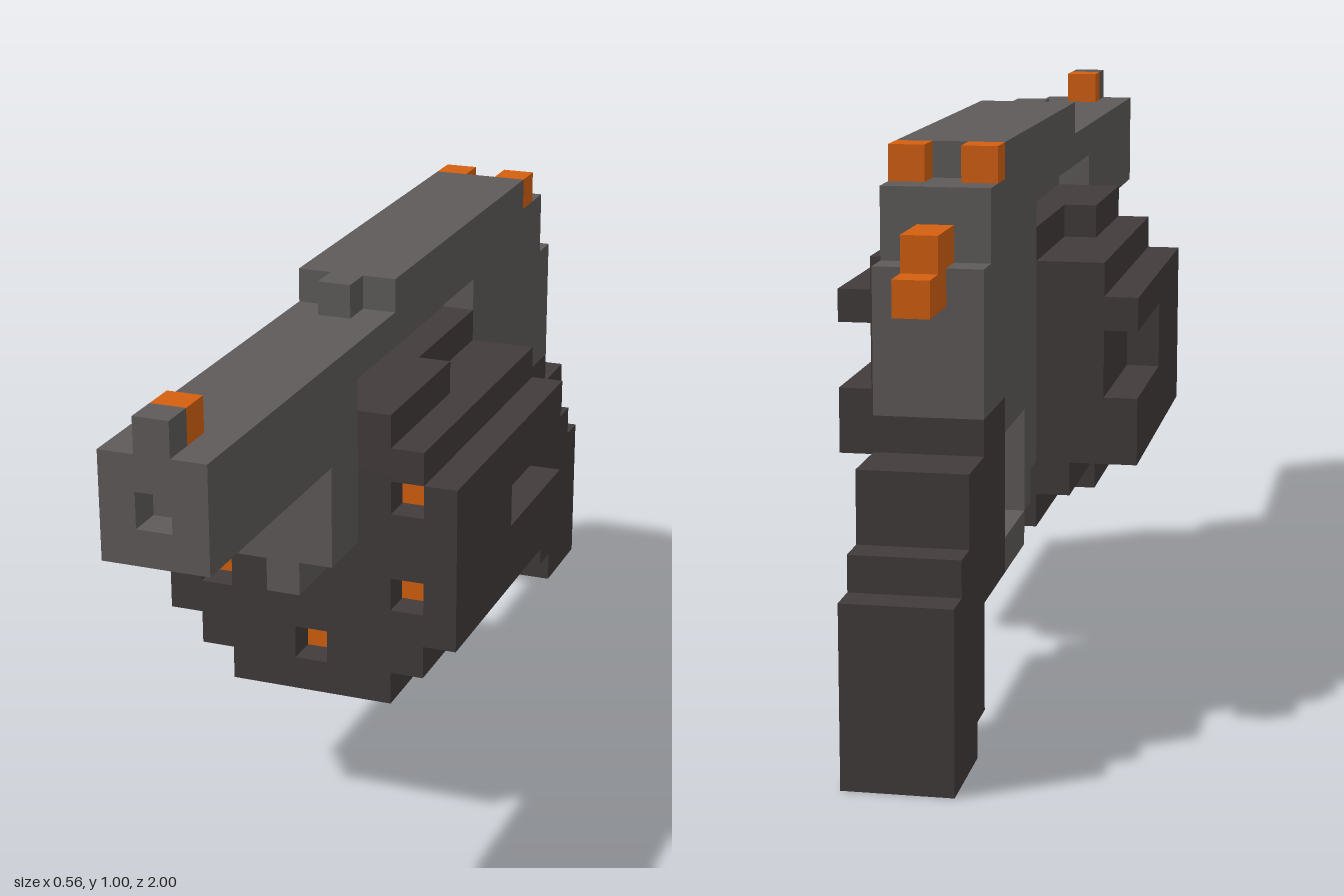
import * as THREE from 'three';

const U = 1 / 16; // one block

export function createModel() {
  const steel = new THREE.MeshStandardMaterial({ color: 0x5f5a5a });
  steel.name = 'grey steel';
  const dark = new THREE.MeshStandardMaterial({ color: 0x423b3b });
  dark.name = 'dark iron';
  const orange = new THREE.MeshStandardMaterial({ color: 0xd4600f });
  orange.name = 'orange';

  const model = new THREE.Group();
  model.name = 'blockRevolver';

  const add = (name, geometry, material) => {
    geometry.scale(U, U, U);
    const mesh = new THREE.Mesh(geometry, material);
    mesh.name = name;
    model.add(mesh);
  };
  const box = (name, material, x0, x1, y0, y1, z0, z1) => {
    const g = new THREE.BoxGeometry(x1 - x0, y1 - y0, z1 - z0);
    g.translate((x0 + x1) / 2, (y0 + y1) / 2, (z0 + z1) / 2);
    add(name, g, material);
  };
  const shapeOf = (points) => new THREE.Shape(points.map(([a, b]) => new THREE.Vector2(a, b)));
  const squareHole = (x, y) => new THREE.Path([[-0.5, -0.5], [-0.5, 0.5], [0.5, 0.5], [0.5, -0.5]]
    .map(([a, b]) => new THREE.Vector2(x + a, y + b)));

  // Side profile given as (z, y), three blocks wide
  const sidePlate = (name, material, points) => {
    const g = new THREE.ExtrudeGeometry(shapeOf(points), { depth: 3, bevelEnabled: false });
    g.rotateY(-Math.PI / 2);
    g.translate(1.5, 0, 0);
    add(name, g, material);
  };
  // Front profile given as (x, y), running from z0 to z1
  const alongZ = (name, material, points, z0, z1, holes = []) => {
    const shape = shapeOf(points);
    shape.holes = holes.map(([x, y]) => squareHole(x, y));
    const g = new THREE.ExtrudeGeometry(shape, { depth: z1 - z0, bevelEnabled: false });
    g.translate(0, 0, z0);
    add(name, g, material);
  };
  const mirrored = (half) => [...half, ...half.map(([x, y]) => [-x, y]).reverse()];

  // Frame and barrel
  sidePlate('frame', steel, [
    [15, 12], [15, 15], [3, 15], [3, 16], [-9, 16], [-9, 15], [-11, 15], [-11, 13],
    [-12, 13], [-12, 9], [-9, 9], [-9, 8], [-6, 8], [-6, 5], [-5, 5], [-5, 6],
    [-4, 6], [-4, 14], [6, 14], [6, 9], [8, 9], [8, 12],
  ]);
  alongZ('muzzle', steel, [[-1.5, 12], [1.5, 12], [1.5, 15], [-1.5, 15]], 15, 16, [[0, 13.5]]);
  box('topStrapCore', steel, -0.5, 0.5, 13, 14, -4, 6);
  box('topStrapTip', steel, -0.5, 0.5, 15, 16, 3, 4);
  box('ejectorRod', steel, -0.5, 0.5, 8, 9, 6, 8);

  // Sights and hammer
  box('frontSightBase', steel, -0.5, 0.5, 15, 16, 15, 16);
  box('frontSight', orange, -0.5, 0.5, 15, 16, 14, 15);
  for (const s of [-1, 1]) box('rearSight', orange, s - 0.5, s + 0.5, 15, 16, -10, -9);
  box('hammer', orange, -0.5, 0.5, 13, 14, -13, -11);
  box('hammerSpur', orange, -0.5, 0.5, 12, 13, -14, -12);

  // Drum: plain front half with chambers, fluted rear half
  const drum = mirrored([
    [2.5, 4], [2.5, 5], [3.5, 5], [3.5, 6], [4.5, 6], [4.5, 11],
    [3.5, 11], [3.5, 12], [2.5, 12], [2.5, 13],
  ]);
  const fluted = mirrored([
    [1.5, 4], [1.5, 5], [2.5, 5], [2.5, 6], [4.5, 6], [4.5, 8], [3.5, 8], [3.5, 10],
    [4.5, 10], [4.5, 11], [3.5, 11], [3.5, 12], [1.5, 12], [1.5, 13],
  ]);
  const chambers = [[-3, 10.5], [3, 10.5], [-3, 7.5], [3, 7.5], [0, 5.5]];
  alongZ('drumFace', dark, drum, 5, 6, chambers);
  alongZ('drumBody', dark, drum, 1, 5);
  alongZ('drumRear', dark, fluted, -4, 1);
  for (const [x, y] of chambers) {
    box('cartridge', orange, x - 0.5, x + 0.5, y - 0.5, y + 0.5, 4.95, 5.05);
  }

  // Trigger, guard and grip
  box('triggerGuard', steel, -1.5, 1.5, 4, 5, -9, -6);
  box('trigger', dark, -0.5, 0.5, 6, 7, -9, -7);
  box('triggerRoot', dark, -0.5, 0.5, 7, 8, -9, -8);
  sidePlate('grip', dark, [
    [-9, 4], [-9, 9], [-12, 9], [-12, 8], [-14, 8], [-14, 6], [-15, 6], [-15, 5],
    [-16, 5], [-16, 0], [-13, 0], [-13, 1], [-12, 1], [-12, 4],
  ]);

  return model;
}
